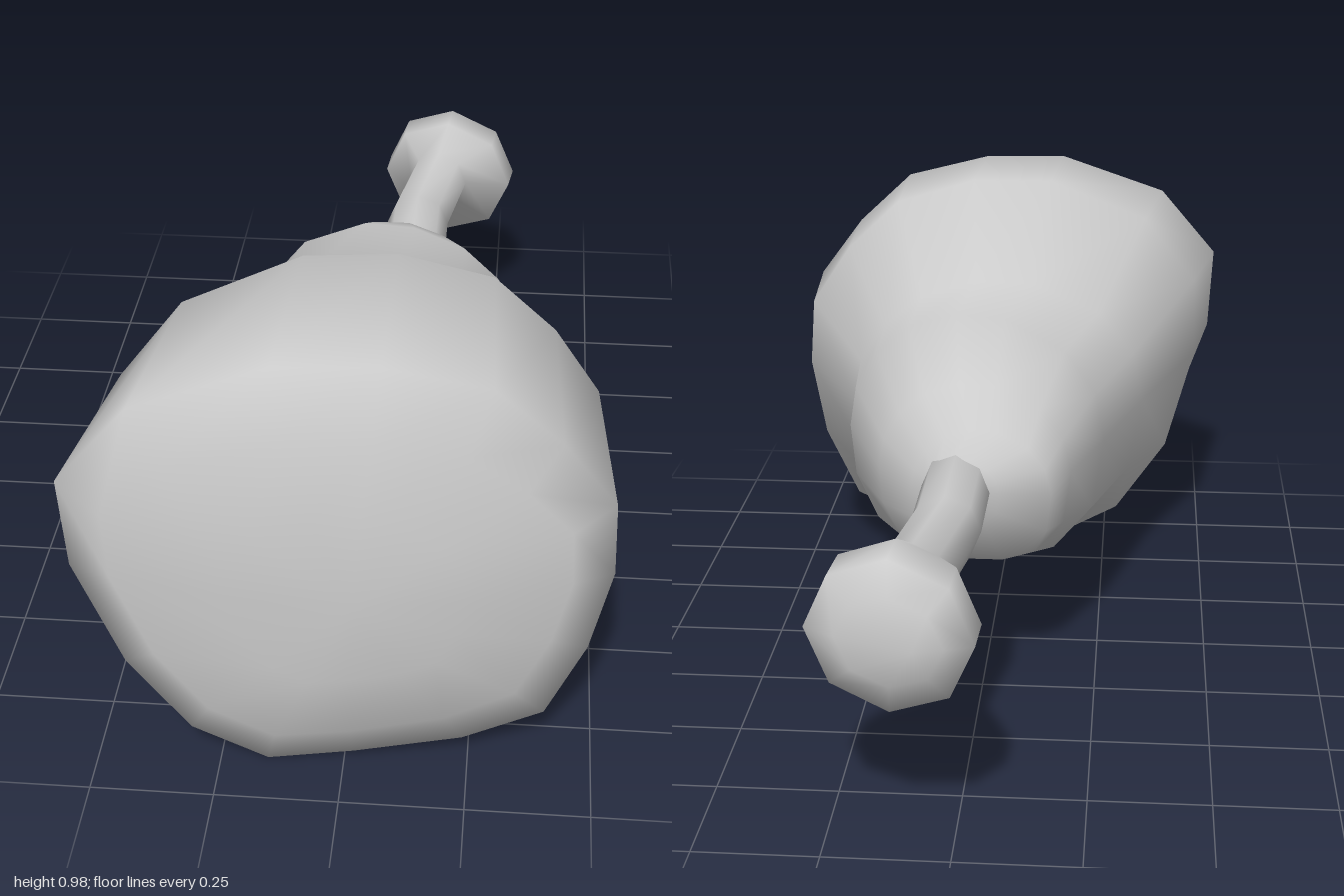
import * as THREE from 'three';

// Lopsided outline of the meat, counter-clockwise seen from +z, within -1..1
const MEAT = [
  [1, 0.02], [0.99, 0.36], [0.79, 0.65], [0.54, 0.9], [0.15, 1], [-0.23, 1], [-0.73, 0.81], [-1, 0.47],
  [-0.98, 0.06], [-0.81, -0.45], [-0.58, -0.82], [-0.29, -1], [0.04, -0.96], [0.46, -0.88], [0.77, -0.73], [0.92, -0.37],
];
const ROUND = Array.from({ length: 8 }, (_, i) => [Math.cos(i * Math.PI / 4), Math.sin(i * Math.PI / 4)]);

// Closed skin through cross-sections ordered front to back.
// Section: [z, xMin, xMax, yMin, yMax, slant of z along x, roundness 0..1, lean of z along y, bow of z along x]
// Rounded sections keep a fuller underside.
function loft(outline, sections, frontTip, backTip) {
  const n = outline.length, pos = [...frontTip], index = [];
  for (const [z, x0, x1, y0, y1, slant = 0, round = 0, lean = 0, bow = 0] of sections) {
    for (const [u, v] of outline) {
      const p = v < 0 ? 2.7 : 2;
      const r = (Math.abs(u) ** p + Math.abs(v) ** p) ** (1 / p);
      const grow = 1 + (1 / r - 1) * round;
      const x = (x0 + x1) / 2 + (x1 - x0) / 2 * u * grow;
      const y = (y0 + y1) / 2 + (y1 - y0) / 2 * v * grow;
      pos.push(x, y, z - slant * x - lean * (y - 0.5) - bow * x * x);
    }
  }
  pos.push(...backTip);
  const last = sections.length * n + 1;
  for (let j = 0; j < n; j++) {
    const k = (j + 1) % n;
    index.push(0, 1 + j, 1 + k);
    for (let s = 0; s < sections.length - 1; s++) {
      const a = 1 + s * n + j, b = 1 + s * n + k;
      index.push(a, a + n, b, b, a + n, b + n);
    }
    index.push(last, last - n + k, last - n + j);
  }
  const g = new THREE.BufferGeometry();
  g.setAttribute('position', new THREE.Float32BufferAttribute(pos, 3));
  g.setIndex(index);
  g.computeVertexNormals();
  return g;
}

export function createModel() {
  const group = new THREE.Group();
  const material = new THREE.MeshStandardMaterial({ color: 0xcccccc });
  const add = (name, geometry) => {
    const mesh = new THREE.Mesh(geometry, material);
    mesh.name = name;
    group.add(mesh);
  };

  // Meat: broad slanted front face, swelling body, narrower rounded back
  add('meat', loft(MEAT, [
    [0.986, -0.22, 0.24, 0.3, 0.69, 0.06, 0, 0, 0.1],
    [0.962, -0.44, 0.44, 0.14, 0.84, 0.08, 0, 0, 0.18],
    [0.89, -0.525, 0.52, 0.0, 0.968, 0.077, 0, -0.03],
    [0.56, -0.48, 0.495, 0.022, 0.985, 0.1, 0.3, 0.07],
    [0.335, -0.345, 0.36, 0.15, 0.785, 0.02, 0.8, 0.07],
    [0.03, -0.26, 0.335, 0.195, 0.78, -0.16, 0.8],
    [-0.15, -0.19, 0.24, 0.255, 0.68, -0.05, 0.9, 0.06],
    [-0.235, -0.15, 0.16, 0.3, 0.6, -0.05, 1],
    [-0.295, -0.04, 0.13, 0.4, 0.55, -0.25, 1],
  ], [0.03, 0.5, 1], [0.04, 0.48, -0.29]));

  // Bone: slim bent shaft widening into an uneven, slanted knob
  add('bone', loft(ROUND, [
    [-0.2, -0.02, 0.13, 0.405, 0.555],
    [-0.52, -0.02, 0.13, 0.405, 0.555],
    [-0.775, 0.02, 0.165, 0.4, 0.55, -0.15],
    [-0.87, -0.05, 0.275, 0.285, 0.595, -0.2],
    [-0.962, -0.045, 0.285, 0.28, 0.59, -0.2],
    [-1, 0.01, 0.22, 0.35, 0.53, -0.2],
  ], [0.055, 0.48, -0.18], [0.07, 0.43, -0.995]));

  return group;
}
